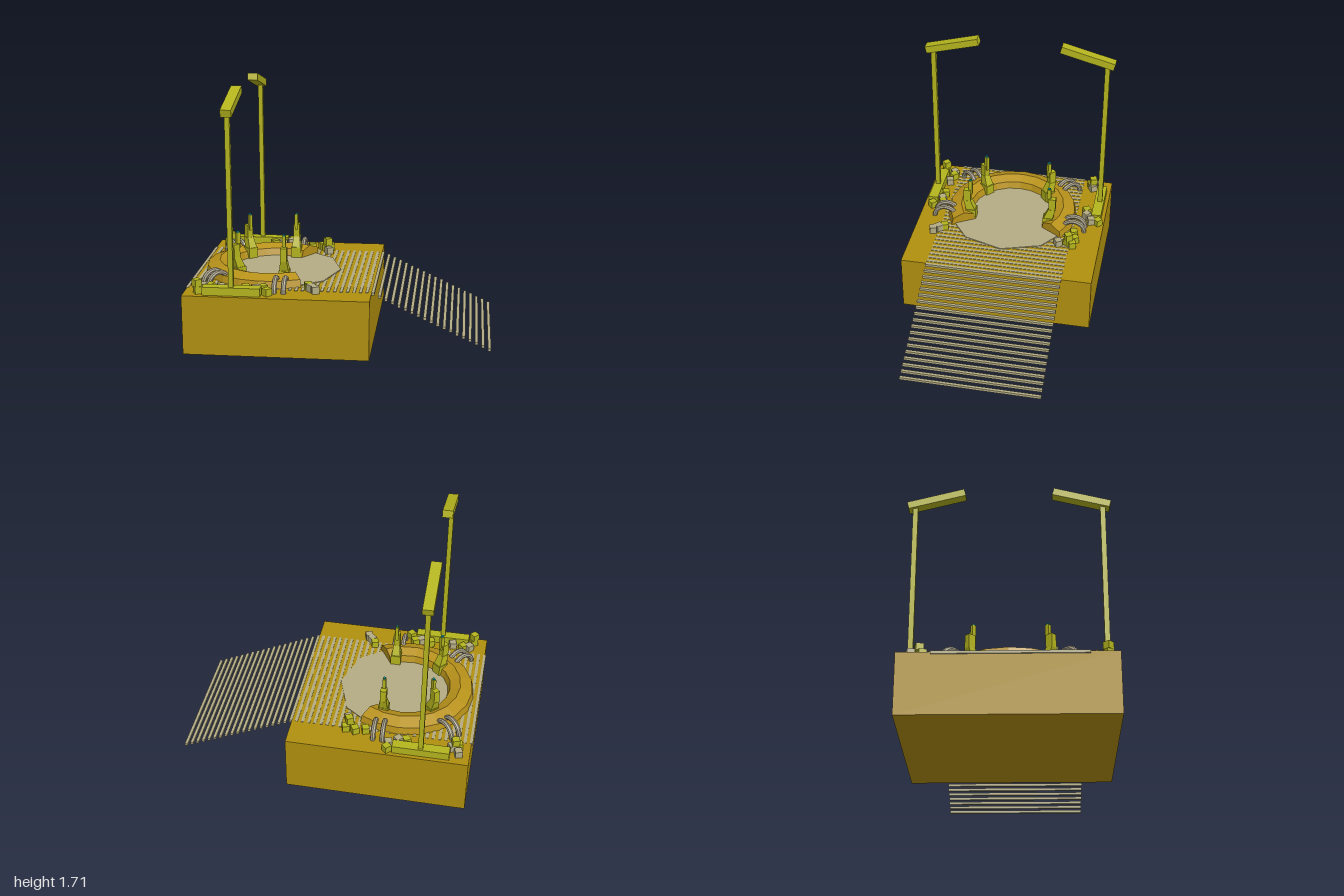
import * as THREE from 'three';

const paint = (color, side = THREE.FrontSide) => {
  const m = new THREE.MeshStandardMaterial({ flatShading: true, side });
  m.color.set(color);
  return m;
};
const OCHRE = paint(0xb0900f), RING = paint(0xb8921a, THREE.DoubleSide), YELLOW = paint(0xb4b41e);
const SAND = paint(0xb3ac84), PIPE = paint(0xaaa28a), TEAL = paint(0x14a0a0);
const DECK = 0.4, CX = -0.495, CZ = 0.01;

function add(parent, name, geometry, material, x = 0, y = 0, z = 0, ry = 0) {
  const mesh = new THREE.Mesh(geometry, material);
  mesh.name = name;
  mesh.position.set(x, y, z);
  mesh.rotation.y = ry;
  parent.add(mesh);
  return mesh;
}
const box = (w, h, d) => new THREE.BoxGeometry(w, h, d);

function group(parent, name, x = 0, y = 0, z = 0, ry = 0) {
  const g = new THREE.Group();
  g.name = name;
  g.position.set(x, y, z);
  g.rotation.y = ry;
  parent.add(g);
  return g;
}

// Bevelled collar, open towards +x, with capped ends
function addCollar(root) {
  const g = group(root, 'collar', CX, 0, CZ);
  const profile = [[0.47, 0.4], [0.458, 0.45], [0.375, 0.48], [0.305, 0.455], [0.288, 0.4]]
    .map(([r, y]) => new THREE.Vector2(r, y));
  const start = THREE.MathUtils.degToRad(147), sweep = THREE.MathUtils.degToRad(244);
  add(g, 'collarRing', new THREE.LatheGeometry(profile, 14, start, sweep), RING);
  for (const phi of [start, start + sweep])
    add(g, 'collarEnd', new THREE.ShapeGeometry(new THREE.Shape(profile)), RING, 0, 0, 0, phi - Math.PI / 2);
}

// Emitter: foot, outward-leaning link, housing and a thin rod; local +z points outward
function addEmitter(root, x, z, ry) {
  const g = group(root, 'emitter', x, DECK, z, ry);
  add(g, 'emitterFoot', box(0.07, 0.08, 0.075), YELLOW, 0, 0.04, -0.007);
  const link = box(0.06, 0.07, 0.065), p = link.attributes.position;
  for (let i = 0; i < p.count; i++)
    if (p.getY(i) > 0) p.setXYZ(i, p.getX(i) * 0.75, p.getY(i), p.getZ(i) * 0.8 + 0.025);
  link.computeVertexNormals();
  add(g, 'emitterLink', link, YELLOW, 0, 0.115, -0.005);
  add(g, 'emitterHousing', box(0.042, 0.09, 0.05), YELLOW, 0, 0.195, 0.02);
  add(g, 'emitterRod', box(0.022, 0.11, 0.028), YELLOW, 0, 0.26, -0.003);
  add(g, 'emitterTip', box(0.014, 0.012, 0.018), TEAL, 0, 0.319, -0.003);
}

// Pair of half-round pipes crossing the collar
function addPipes(root, x, z, ry) {
  const g = group(root, 'pipePair', x, DECK, z, ry);
  for (const s of [-1, 1])
    add(g, 'pipe', new THREE.TorusGeometry(0.08, 0.017, 8, 10, Math.PI), PIPE, 0, 0, s * 0.031);
}

// Lamp post on a floor beam, its head tilted in over the deck
function addLamp(root, side) {
  const g = group(root, 'lamp');
  add(g, 'lampBeam', box(0.38, 0.055, 0.07), YELLOW, -0.68, DECK + 0.027, side * 0.607);
  add(g, 'lampPost', box(0.032, 1.2, 0.034), YELLOW, -0.68, 1.0, side * 0.612);
  const head = add(g, 'lampHead', box(0.07, 0.05, 0.385), YELLOW, -0.68, 1.641, side * 0.475);
  head.rotation.x = side * 0.255;
}

// Loose crates at [x, z] spots, each turned a little differently
function addCrates(root, material, lift, spots) {
  const size = 0.048;
  spots.forEach(([x, z], i) =>
    add(root, 'crate', box(size, size, size), material, x, DECK + lift + size / 2, z, 0.3 + (i % 3) * 0.25));
}

export function createModel() {
  const root = new THREE.Group();
  root.name = 'platform';
  add(root, 'base', box(1.22, DECK, 1.336), OCHRE, -0.39, DECK / 2, 0);

  // Slats set into the deck, then continuing down the ramp
  const pitch = 0.0424, slat = box(0.02, 0.018, 0.95);
  for (let i = 0; i < 29; i++)
    add(root, 'deckSlat', slat, SAND, 0.189 - i * pitch, 0.394, 0.015);
  for (let i = 0; i < 19; i++)
    add(root, 'rampSlat', slat, SAND, 0.228 + i * pitch, 0.395 - i * 0.0198, 0.015);

  add(root, 'floorDisc', new THREE.CylinderGeometry(0.463, 0.463, 0.012, 10, 1, false, Math.PI / 2),
    SAND, CX, 0.401, CZ);
  addCollar(root);

  for (const s of [-1, 1]) {
    const turn = s > 0 ? 0 : Math.PI;
    addEmitter(root, -0.38, CZ + s * 0.29, turn);
    addEmitter(root, -0.705, CZ + s * 0.235, turn - s * 0.72);
    addPipes(root, -0.38, CZ + s * 0.47, Math.PI / 2);
    addPipes(root, -0.83, CZ + s * 0.365, s * 0.8);
    addLamp(root, s);
  }

  // Crates on the deck, then the few stacked on top
  addCrates(root, YELLOW, 0, [
    [-0.92, -0.515], [-0.575, -0.53], [-0.455, -0.625], [-0.29, -0.475], [-0.22, -0.49], [-0.18, -0.445],
    [-0.155, -0.48], [-0.905, 0.6], [-0.835, 0.525], [-0.6, 0.535], [-0.485, 0.53], [-0.45, 0.6], [-0.2, 0.45],
  ]);
  addCrates(root, SAND, 0, [
    [-0.925, -0.585], [-0.88, -0.535], [-0.52, -0.535], [-0.46, -0.575], [-0.16, -0.38],
    [-0.88, 0.53], [-0.76, 0.54], [-0.53, 0.545], [-0.175, 0.49], [-0.145, 0.525],
  ]);
  addCrates(root, YELLOW, 0.048, [[-0.9, -0.535], [-0.175, -0.45], [-0.91, 0.6]]);

  return root;
}
